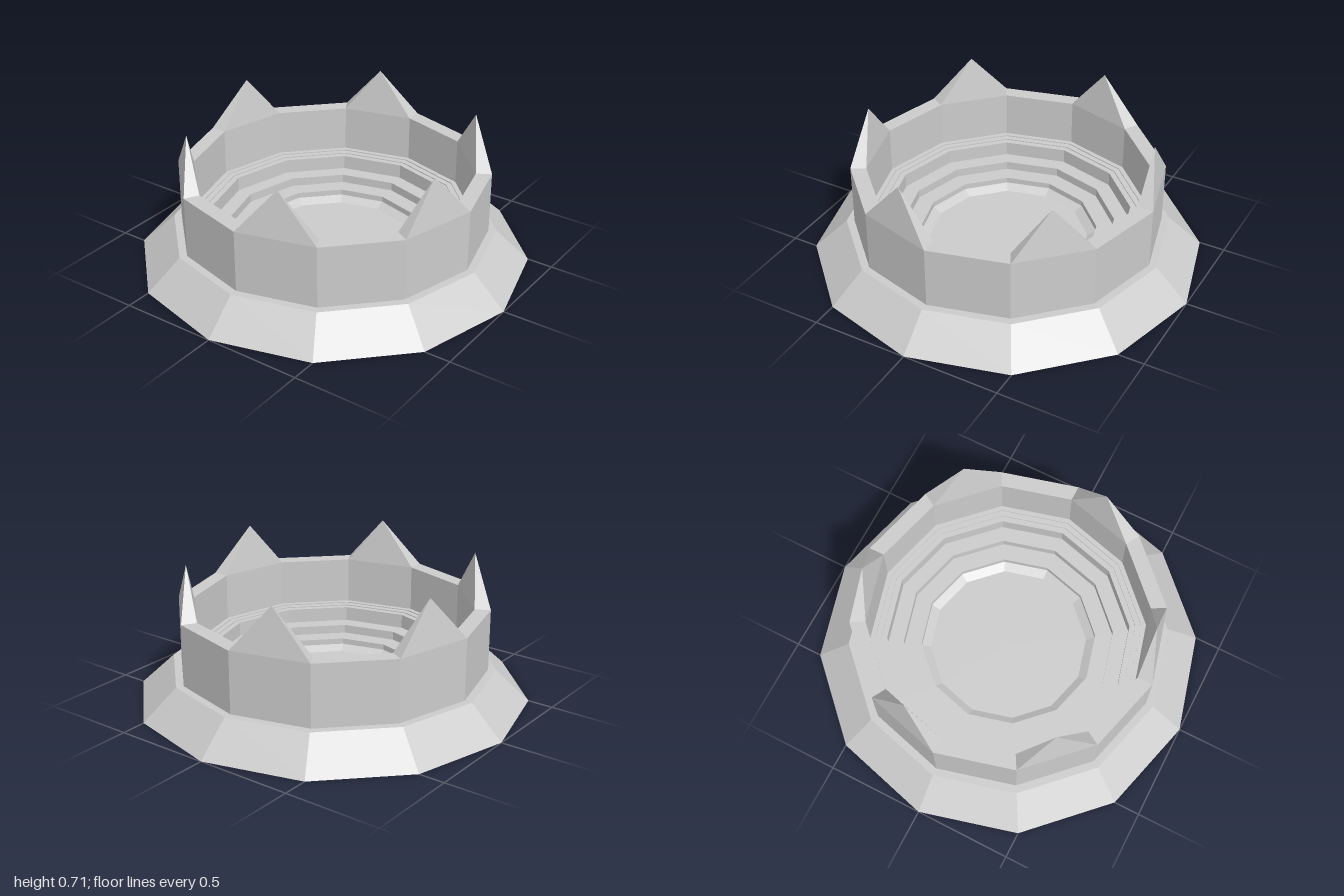
import * as THREE from 'three';

const SIDES = 12;
const OUTER = 0.79, INNER = 0.71, RIM = 0.48, TIP = 0.715;
const material = new THREE.MeshStandardMaterial({ color: 0xcccccc, flatShading: true });

// Faceted ring turned from a list of [radius, height] points
function turned(name, profile) {
  const points = profile.map(([r, y]) => new THREE.Vector2(r, y));
  const mesh = new THREE.Mesh(new THREE.LatheGeometry(points, SIDES), material);
  mesh.name = name;
  return mesh;
}

// Four-sided spike standing on one wall segment, centred on +z
function spikeGeometry() {
  const half = Math.PI / SIDES;
  const corner = (r, a) => new THREE.Vector3(r * Math.sin(a), RIM, r * Math.cos(a));
  const base = [corner(OUTER, -half), corner(OUTER, half), corner(INNER, half), corner(INNER, -half)];
  const tip = new THREE.Vector3(0, TIP, (OUTER + INNER) / 2 * Math.cos(half));
  const points = base.flatMap((p, i) => [p, base[(i + 1) % 4], tip]);
  const geometry = new THREE.BufferGeometry().setFromPoints(points);
  geometry.computeVertexNormals();
  return geometry;
}

export function createModel() {
  const model = new THREE.Group();
  model.name = 'spikedArena';

  // Flared foot with a closed underside
  model.add(turned('foot', [[0, 0], [1, 0], [0.83, 0.16], [OUTER, 0.16]]));

  // Upright wall with a flat rim
  model.add(turned('wall', [[OUTER, 0.16], [OUTER, RIM], [INNER, RIM], [INNER, 0.24]]));

  // Stepped basin going down to a flat floor
  model.add(turned('basin', [
    [INNER, 0.24], [0.685, 0.24], [0.685, 0.235], [0.655, 0.235], [0.655, 0.23],
    [0.625, 0.23], [0.625, 0.155], [0.545, 0.155], [0.545, 0.11], [0.455, 0.11],
    [0.455, 0.08], [0.41, 0.055], [0, 0.055],
  ]));

  // Spikes on every other wall segment
  const geometry = spikeGeometry();
  for (let i = 0; i < 6; i++) {
    const spike = new THREE.Mesh(geometry, material);
    spike.name = `spike${i + 1}`;
    spike.rotation.y = -Math.PI / SIDES + i * Math.PI / 3;
    model.add(spike);
  }
  return model;
}
